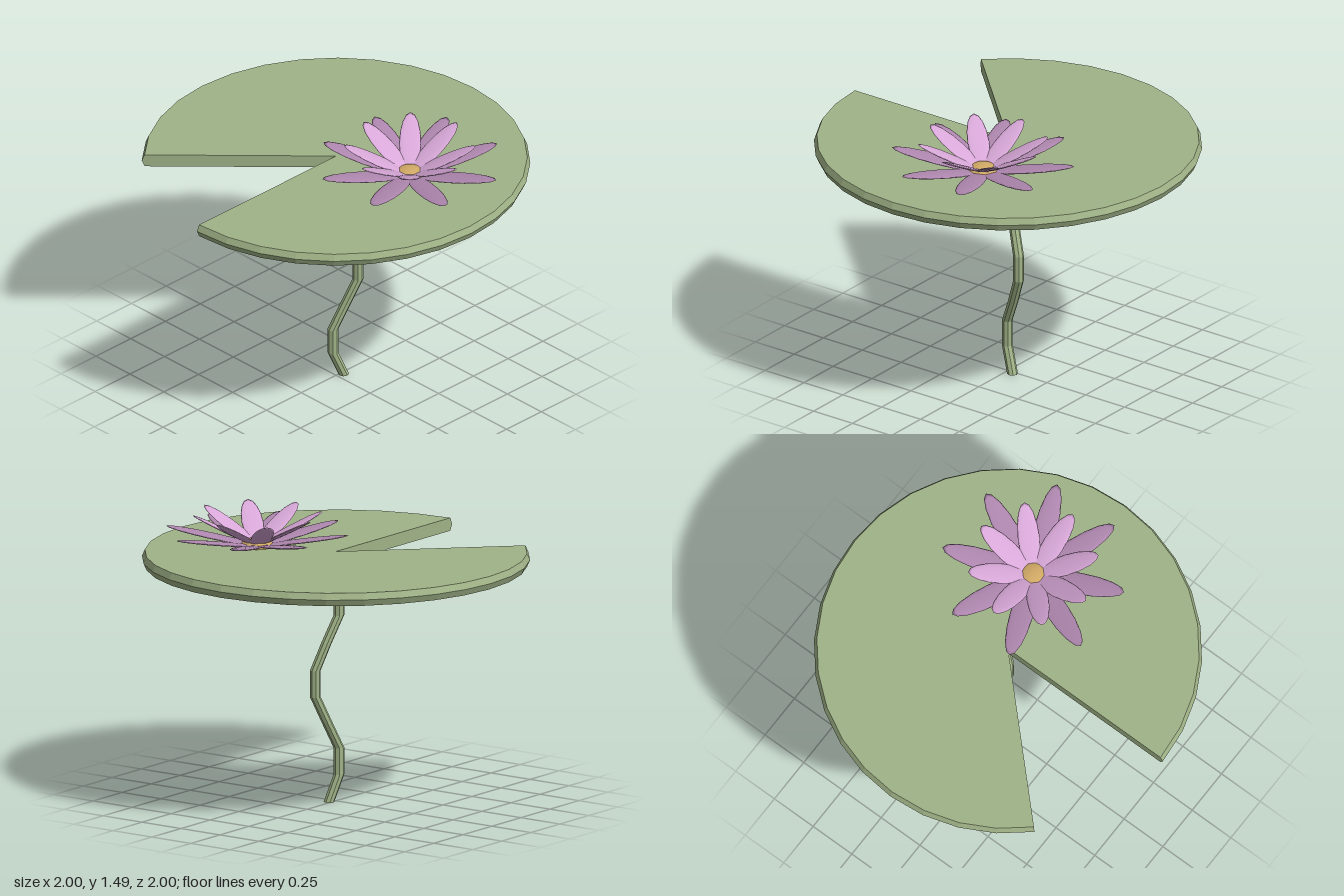
import * as THREE from 'three';

const paint = (color, extra = {}) => new THREE.MeshStandardMaterial({ color, ...extra });

function add(parent, name, geometry, material) {
  const mesh = new THREE.Mesh(geometry, material);
  mesh.name = name;
  parent.add(mesh);
  return mesh;
}

// Round leaf with a 45 degree notch and a bevelled rim
function makePad() {
  const pad = new THREE.Group();
  pad.name = 'lilyPad';
  const green = paint(0xa0b387, { flatShading: true, side: THREE.DoubleSide });
  const profile = [[0, 1.247], [0.985, 1.247], [1, 1.281], [0.985, 1.315], [0, 1.315]]
    .map(([r, y]) => new THREE.Vector2(r, y));
  const sweep = Math.PI * 1.75;
  add(pad, 'leaf', new THREE.LatheGeometry(profile, 28, 0, sweep), green);
  // Walls that close the notch
  for (const phi of [0, sweep]) {
    const wall = new THREE.ShapeGeometry(new THREE.Shape(profile));
    wall.rotateY(phi - Math.PI / 2);
    add(pad, 'notchWall', wall, green);
  }
  return pad;
}

// Wavy stalk: each horizontal ring of a cylinder is shifted sideways
function makeStem() {
  const height = 1.26, rows = 9;
  const shiftX = [0.015, -0.01, -0.01, 0.02, 0.053, 0.053, 0.02, -0.01, -0.01, 0.018];
  const shiftZ = [-0.04, 0.012, 0.012, -0.05, -0.107, -0.107, -0.055, 0.012, 0.012, -0.035];
  const g = new THREE.CylinderGeometry(0.028, 0.028, height, 8, rows);
  g.translate(0, height / 2, 0);
  const p = g.attributes.position;
  for (let i = 0; i < p.count; i++) {
    const row = Math.round(p.getY(i) / height * rows);
    p.setX(i, p.getX(i) + shiftX[row]);
    p.setZ(i, p.getZ(i) + shiftZ[row]);
  }
  g.computeVertexNormals();
  return g;
}

// Ring of flattened oval petals growing out from the flower centre
function addPetalRing(flower, name, halfLength, halfWidth, tilt, offset, material) {
  for (let i = 0; i < 8; i++) {
    const g = new THREE.SphereGeometry(1, 16, 8);
    g.scale(halfLength, 0.008, halfWidth);
    g.translate(halfLength, 0, 0);
    g.rotateZ(THREE.MathUtils.degToRad(tilt));
    g.rotateY((i + offset) * Math.PI / 4);
    add(flower, name, g, material);
  }
}

export function createModel() {
  const model = new THREE.Group();
  model.name = 'waterLily';

  model.add(makePad());
  add(model, 'stem', makeStem(), paint(0xa0b387, { flatShading: true }));

  const flower = new THREE.Group();
  flower.name = 'flower';
  flower.position.set(0.4, 1.315, -0.14);
  addPetalRing(flower, 'innerPetal', 0.19, 0.057, 27, 0, paint(0xd8a8d8));
  addPetalRing(flower, 'outerPetal', 0.245, 0.06, 9.5, 0.5, paint(0xb088b0));

  // Low domed flower centre
  const heart = new THREE.SphereGeometry(0.09, 12, 6);
  heart.scale(1, 0.5, 1);
  add(flower, 'flowerCentre', heart, paint(0xd2aa66));
  model.add(flower);

  return model;
}
